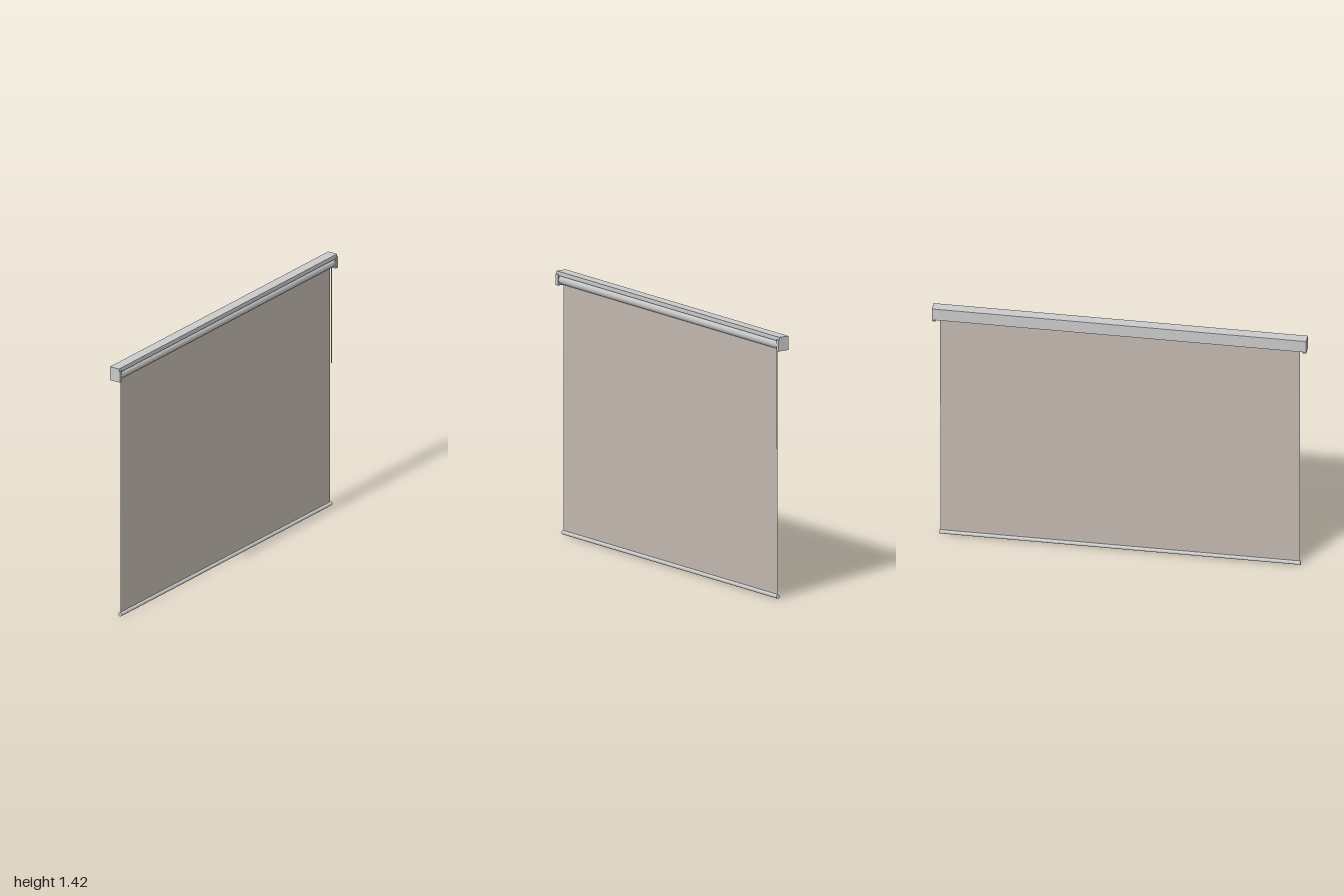
import * as THREE from 'three';

export function createModel() {
  const model = new THREE.Group();
  const metal = new THREE.MeshStandardMaterial({ color: 0xcacaca });
  metal.name = 'light grey metal';
  const cloth = new THREE.MeshStandardMaterial({ color: 0xc2b8af, side: THREE.DoubleSide });
  cloth.name = 'beige fabric';

  const add = (name, geometry, material, x, y, z) => {
    const mesh = new THREE.Mesh(geometry, material);
    mesh.name = name;
    mesh.position.set(x, y, z);
    model.add(mesh);
    return mesh;
  };
  // Box given by its lower and upper corners
  const box = (name, [x0, y0, z0], [x1, y1, z1]) =>
    add(name, new THREE.BoxGeometry(x1 - x0, y1 - y0, z1 - z0), metal,
      (x0 + x1) / 2, (y0 + y1) / 2, (z0 + z1) / 2);
  // Round bar lying along x
  const bar = (name, radius, length, y, z) =>
    add(name, new THREE.CylinderGeometry(radius, radius, length, 32).rotateZ(Math.PI / 2), metal, 0, y, z);

  // Head rail: top, back and short front lip, open below
  box('headRailTop', [-1, 1.415, -0.032], [1, 1.42, 0.026]);
  box('headRailBack', [-1, 1.352, -0.032], [1, 1.415, -0.027]);
  box('headRailLip', [-1, 1.397, 0.021], [1, 1.415, 0.026]);

  // End brackets: side plate with bottom and front flanges
  for (const side of [-1, 1]) {
    const span = (name, inner, outer, y0, y1, z0, z1) =>
      box(name, [Math.min(side * inner, side * outer), y0, z0],
        [Math.max(side * inner, side * outer), y1, z1]);
    span('bracketSide', 0.994, 1, 1.344, 1.415, -0.032, 0.026);
    span('bracketFoot', 0.98, 1, 1.344, 1.349, -0.032, 0.032);
    span('bracketFront', 0.98, 1, 1.344, 1.405, 0.027, 0.032);
  }

  // Roller tube
  bar('rollerTube', 0.026, 1.96, 1.374, 0.002);

  // Hanging fabric
  add('fabric', new THREE.PlaneGeometry(1.92, 1.34), cloth, 0, 0.682, 0.009);

  // Weighted bottom bar
  bar('bottomBar', 0.011, 1.93, 0.011, 0.009);

  // Pull cord
  add('pullCord', new THREE.CylinderGeometry(0.002, 0.002, 0.56, 8), metal, 0.963, 1.09, 0.015);

  return model;
}
